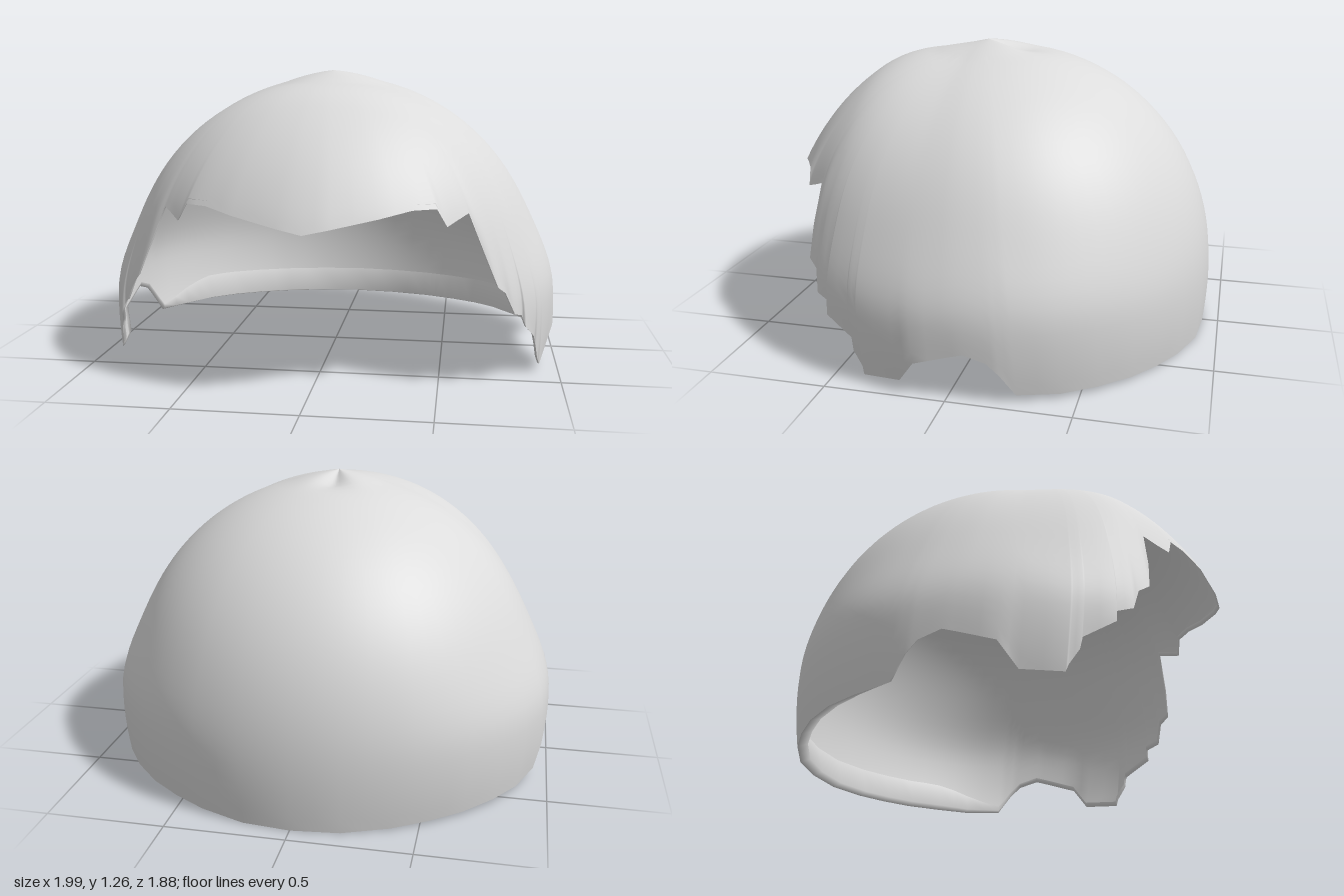
import * as THREE from 'three';

const { smoothstep } = THREE.MathUtils;
const CENTRE = new THREE.Vector3(0, 0.3, 0);
const ROWS = 36;

// Left half of the ragged lower edge, from the brow round to the nape: x, y, z
const EDGE = [
  [0, 0.67, 0.94], [0.1, 0.69, 0.925], [0.28, 0.725, 0.865], [0.4, 0.75, 0.8],
  [0.49, 0.75, 0.75], [0.53, 0.68, 0.74], [0.57, 0.7, 0.69], [0.61, 0.72, 0.645],
  [0.68, 0.55, 0.66], [0.73, 0.43, 0.66], [0.76, 0.4, 0.62], [0.8, 0.31, 0.6],
  [0.83, 0.29, 0.54], [0.85, 0.24, 0.54], [0.89, 0.17, 0.42], [0.9, 0.12, 0.41],
  [0.91, 0.06, 0.37], [0.92, 0.03, 0.36], [0.95, 0.04, 0.2], [0.99, 0.14, 0.13],
  [0.99, 0.18, 0], [0.99, 0.2, -0.07], [0.98, 0.17, -0.16], [0.97, 0.12, -0.21],
  [0.94, 0.03, -0.27], [0.87, 0.02, -0.43], [0.78, 0.02, -0.56], [0.66, 0.015, -0.68],
  [0.53, 0.01, -0.77], [0.39, 0.005, -0.845], [0.2, 0, -0.91], [0, 0, -0.93],
];

// Closed outline: both halves, each span cut in two
function edgeLoop() {
  const half = EDGE.map(p => new THREE.Vector3(...p));
  const mirrored = half.slice(1, -1).reverse().map(p => new THREE.Vector3(-p.x, p.y, p.z));
  const loop = [...half, ...mirrored];
  return loop.flatMap((p, i) => [p, p.clone().lerp(loop[(i + 1) % loop.length], 0.5)]);
}

// Distance of the head surface from the centre in direction d
function radius(d) {
  const low = d.y > 0 ? Math.exp(-((d.y / 0.25) ** 2)) : 1;
  const side = 0.055 * Math.min(1, d.x * d.x * 1.1) * low;
  const front = 0.07 * smoothstep(d.z, 0.12, 0.56) * (1 - Math.abs(d.x) ** 3)
    * smoothstep(d.y, -0.3, 0.45);
  // pointed crown, with a hollow behind it between two ridges
  const dz = d.z - 0.083, reach = Math.hypot(d.x, dz);
  const swing = Math.atan2(d.x, -dz);
  const crown = 0.03 * Math.max(0, 1 - reach / 0.25);
  const hollow = 0.035 * Math.exp(-((swing / 0.4) ** 2) - (((reach - 0.13) / 0.1) ** 2));
  return 0.933 + side + front + crown - hollow;
}

// Triangles for rows of points that close round on themselves
function ringSurface(rows, pinched) {
  const n = rows[0].length, index = [];
  for (let i = 0; i < rows.length - 1; i++) {
    for (let j = 0; j < n; j++) {
      const k = (j + 1) % n;
      const a = i * n + j, b = a + n, c = i * n + k, d = c + n;
      index.push(a, b, d);
      if (!(pinched && i === 0)) index.push(a, d, c);
    }
  }
  const geometry = new THREE.BufferGeometry().setFromPoints(rows.flat());
  geometry.setIndex(index);
  geometry.computeVertexNormals();
  return geometry;
}

export function createModel() {
  const group = new THREE.Group();
  group.name = 'hairCap';
  const grey = new THREE.MeshStandardMaterial({ color: 0xdcdcdc, side: THREE.DoubleSide });
  grey.name = 'light grey';

  const edge = edgeLoop();
  const top = new THREE.Vector3(0, 0.96, 0.08).normalize();

  // Shell: arcs sweep from the crown down to every point of the edge
  const rows = [];
  for (let i = 0; i <= ROWS; i++) {
    const t = i / ROWS;
    rows.push(edge.map(e => {
      const end = e.clone().sub(CENTRE);
      const length = end.length();
      end.normalize();
      const angle = top.angleTo(end);
      const d = top.clone().multiplyScalar(Math.sin((1 - t) * angle))
        .addScaledVector(end, Math.sin(t * angle)).divideScalar(Math.sin(angle));
      const fit = 1 + (length / radius(end) - 1) * t ** 9;
      return d.multiplyScalar(radius(d) * fit).add(CENTRE);
    }));
  }
  const shell = new THREE.Mesh(ringSurface(rows, true), grey);
  shell.name = 'hairShell';
  group.add(shell);

  // Lip: the edge turns inward, then runs up inside the nape to meet the shell
  const lipRow = (inset, napeInset, rise, napeRise) => edge.map(e => {
    const nape = smoothstep(-e.z, 0.2, 0.6);
    const s = 1 - inset - napeInset * nape;
    return new THREE.Vector3(e.x * s, e.y + rise + napeRise * nape, e.z * s);
  });
  const lipRows = [edge, lipRow(0.01, 0.035, 0.008, 0.006), lipRow(0.012, 0, 0.02, 0.11)];
  const lip = new THREE.Mesh(ringSurface(lipRows, false), grey);
  lip.name = 'edgeLip';
  group.add(lip);

  return group;
}
